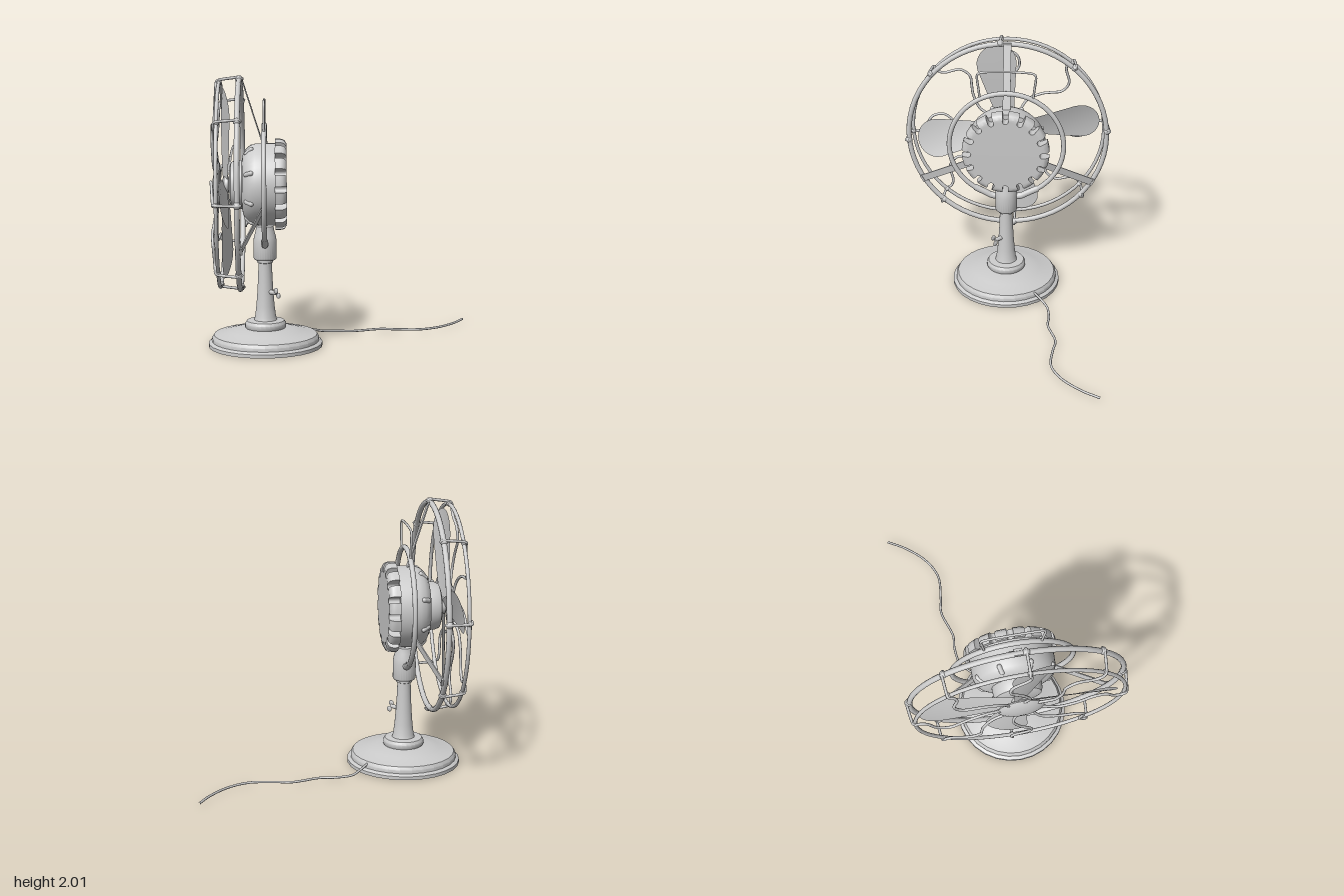
import * as THREE from 'three';
import { toCreasedNormals } from 'three/addons/utils/BufferGeometryUtils.js';

const grey = new THREE.MeshStandardMaterial({ color: 0xcccccc });
const greyThin = new THREE.MeshStandardMaterial({ color: 0xcccccc, side: THREE.DoubleSide });
const rad = THREE.MathUtils.degToRad;
const V = (x, y, z) => new THREE.Vector3(x, y, z);

// point around the fan axis: angle 0 is +z, 90 is up
const polar = (r, deg, x) => V(x, r * Math.sin(rad(deg)), r * Math.cos(rad(deg)));

function add(parent, name, geometry, material = grey) {
  const mesh = new THREE.Mesh(geometry, material);
  mesh.name = name;
  parent.add(mesh);
  return mesh;
}

function lathe(profile, segments = 40) {
  const points = profile.map(([r, y]) => new THREE.Vector2(r, y));
  return toCreasedNormals(new THREE.LatheGeometry(points, segments), 0.6);
}

// lathe whose axis runs along x; profile is [radius, x]
const latheX = (profile, segments) => lathe(profile, segments).rotateZ(-Math.PI / 2);

const tube = (points, r, segments = 40, tension = 0.5) => new THREE.TubeGeometry(
  new THREE.CatmullRomCurve3(points, false, 'catmullrom', tension), segments, r, 8);

const ring = (R, r, x) => new THREE.TorusGeometry(R, r, 10, 64).rotateY(Math.PI / 2).translate(x, 0, 0);

// slotted rear cover: disc with 16 round-ended notches and a rounded rim
function ventedCap() {
  const shape = new THREE.Shape();
  const R = 0.335, n = 16, half = 0.023, inner = 0.285;
  const put = (u, v, a) => {
    const x = u * Math.cos(a) - v * Math.sin(a), y = u * Math.sin(a) + v * Math.cos(a);
    if (shape.curves.length || shape.started) shape.lineTo(x, y);
    else { shape.moveTo(x, y); shape.started = true; }
  };
  for (let i = 0; i < n; i++) {
    const a = (i / n) * Math.PI * 2;
    put(R, -half, a);
    for (let k = 0; k <= 6; k++) {
      const t = (k / 6) * Math.PI;
      put(inner - half * Math.sin(t), -half * Math.cos(t), a);
    }
    put(R, half, a);
    for (let k = 1; k < 4; k++) put(R, 0, a + 0.07 + (k / 4) * (Math.PI * 2 / n - 0.14));
  }
  const depth = 0.085;
  const geo = new THREE.ExtrudeGeometry(shape, { depth, steps: 6, bevelEnabled: false });
  const p = geo.attributes.position;
  for (let i = 0; i < p.count; i++) {
    const r = Math.hypot(p.getX(i), p.getY(i));
    const f = Math.max(0, p.getZ(i) / depth - 0.4) / 0.6;
    const limit = 0.3 + 0.036 * Math.sqrt(Math.max(0, 1 - f * f));
    if (r > limit) p.setXY(i, p.getX(i) * limit / r, p.getY(i) * limit / r);
  }
  return toCreasedNormals(geo.rotateY(Math.PI / 2).translate(-0.497, 0, 0), 0.6);
}

// paddle blade: widens outward, round tip, pitched more at the root
function bladeGeometry() {
  const geo = new THREE.PlaneGeometry(1, 1, 8, 28);
  const p = geo.attributes.position;
  for (let i = 0; i < p.count; i++) {
    const t = p.getY(i) + 0.5;
    const r = 0.05 + 0.67 * Math.sin(t * Math.PI / 2);
    const tip = r > 0.58 ? Math.sqrt(Math.max(0, 1 - ((r - 0.58) / 0.14) ** 2)) : 1;
    const s = p.getX(i) * 2 * (0.05 + 0.1 * Math.min(1, (r - 0.05) / 0.5)) * tip;
    const pitch = 0.4 - 0.3 * r;
    p.setXYZ(i, -0.865 + s * pitch + s * s * 0.5, r, s);
  }
  geo.computeVertexNormals();
  return geo;
}

function createModel() {
  const model = new THREE.Group();
  model.name = 'deskFan';

  // stand
  const stand = new THREE.Group();
  stand.name = 'stand';
  stand.position.x = -0.575;
  model.add(stand);
  add(stand, 'base', lathe([[0, 0], [0.425, 0], [0.425, 0.026], [0.412, 0.036], [0.4, 0.04], [0.4, 0.065],
    [0.385, 0.088], [0.35, 0.094], [0.27, 0.115], [0.2, 0.135], [0, 0.136]], 28));
  add(stand, 'column', lathe([[0.145, 0.132], [0.153, 0.145], [0.153, 0.17], [0.14, 0.19], [0.085, 0.195],
    [0.078, 0.22], [0.068, 0.3], [0.06, 0.4], [0.053, 0.52], [0.05, 0.625], [0.06, 0.63], [0.06, 0.66]], 28));
  add(stand, 'socket', lathe([[0, 0.65], [0.078, 0.65], [0.086, 0.662], [0.086, 0.78], [0.082, 0.82],
    [0.07, 0.86], [0.064, 0.9], [0, 0.92]], 28));

  // wing screw on the column
  const screw = new THREE.Group();
  screw.name = 'wingScrew';
  screw.position.set(0.035, 0.41, 0.035);
  screw.rotation.y = -Math.PI / 4;
  stand.add(screw);
  add(screw, 'screwShaft', new THREE.CylinderGeometry(0.014, 0.018, 0.07, 12).rotateZ(-Math.PI / 2)).position.x = 0.035;
  for (const s of [-1, 1]) {
    const wing = add(screw, 'screwWing', new THREE.SphereGeometry(0.02, 12, 8));
    wing.scale.set(1.1, 1.1, 0.45);
    wing.position.set(0.075, s * 0.02, s * 0.012);
  }

  // power cord
  const cord = [[-0.3, -0.21, 0.075], [-0.265, -0.24, 0.07], [-0.2, -0.3, 0.045], [-0.13, -0.345, 0.025], [0, -0.36, 0.02],
    [0.11, -0.355, 0.02], [0.3, -0.415, 0.02], [0.43, -0.4, 0.02], [0.62, -0.39, 0.02], [0.78, -0.47, 0.02],
    [0.91, -0.61, 0.02], [0.995, -0.75, 0.02]];
  add(model, 'cord', tube(cord.map(([x, z, y]) => V(x, y, z)), 0.009, 80));

  // everything centred on the fan axis
  const head = new THREE.Group();
  head.name = 'fanHead';
  head.position.y = 1.21;
  model.add(head);

  // motor
  add(head, 'motorBody', latheX([[0, -0.83], [0.14, -0.83], [0.165, -0.82], [0.178, -0.79], [0.18, -0.74], [0.22, -0.733],
    [0.255, -0.715], [0.285, -0.685], [0.3, -0.645], [0.303, -0.6], [0.303, -0.495], [0, -0.495]], 48));
  add(head, 'motorRearCap', ventedCap());
  for (let i = 0; i < 8; i++) {
    const vent = add(head, 'motorFrontVent', new THREE.CapsuleGeometry(0.018, 0.05, 4, 10).rotateZ(Math.PI / 2 + 0.75));
    vent.geometry.translate(-0.687, 0.274, 0);
    vent.rotation.x = rad(22.5 + 45 * i);
  }

  // yoke ring, its arms to the socket, and the carrying handle
  const yx = -0.575;
  add(head, 'yokeRing', ring(0.441, 0.019, yx));
  for (const s of [-1, 1]) {
    add(head, 'yokeArm', tube([polar(0.441, -90 + s * 34, yx), V(yx, -0.405, s * 0.17),
      V(yx, -0.435, s * 0.11), V(yx, -0.44, s * 0.04)], 0.026, 16));
  }
  add(head, 'handle', tube([V(yx, 0.38, 0.2), V(yx, 0.47, 0.21), V(yx, 0.575, 0.222), V(yx, 0.605, 0.205),
    V(yx, 0.615, 0.15), V(yx, 0.62, 0), V(yx, 0.615, -0.15), V(yx, 0.605, -0.205), V(yx, 0.575, -0.222),
    V(yx, 0.47, -0.21), V(yx, 0.38, -0.2)], 0.009, 64));

  // cage rings
  add(head, 'cageRearRing', ring(0.77, 0.02, -0.755));
  add(head, 'cageFrontRing', ring(0.752, 0.014, -0.9));

  // curved guard wires: [radius, angle offset, x]
  const link = [[0.772, 0, -0.73], [0.795, 0, -0.745], [0.79, 0, -0.78], [0.772, 0, -0.9], [0.75, 0, -0.92], [0.72, -1, -0.922],
    [0.666, 1, -0.927], [0.605, 10, -0.935], [0.516, 13, -0.942], [0.44, 8, -0.942], [0.38, 2, -0.94],
    [0.285, -7, -0.935], [0.21, -9, -0.925], [0.12, 0, -0.915]];
  for (let i = 0; i < 8; i++) {
    const a = -4 + 45 * i;
    add(head, 'guardWire', tube(link.map(([r, d, x]) => polar(r, a + d, x)), 0.0105, 72));
    for (const [r, x, size] of [[0.775, -0.755, 0.027], [0.755, -0.9, 0.02]]) {
      const clamp = add(head, 'guardClamp', new THREE.SphereGeometry(size, 12, 8));
      clamp.position.copy(polar(r, a, x));
    }
  }

  // front medallion
  add(head, 'medallion', latheX([[0, -0.957], [0.05, -0.954], [0.1, -0.945], [0.145, -0.93], [0.167, -0.915],
    [0.165, -0.905], [0.12, -0.898], [0, -0.895]]));

  // flat struts from motor to rear ring
  for (let i = 0; i < 3; i++) {
    const length = Math.hypot(0.49, 0.155);
    const pivot = new THREE.Group();
    pivot.name = 'strut';
    pivot.rotation.x = rad(120 * i);
    head.add(pivot);
    const bar = add(pivot, 'strutBar', new THREE.BoxGeometry(0.008, length, 0.058));
    bar.position.set(-0.66, 0.535, 0);
    bar.rotation.z = Math.atan2(0.155, 0.49);
    add(pivot, 'strutClip', new THREE.BoxGeometry(0.05, 0.014, 0.058)).position.set(-0.748, 0.775, 0);
  }

  // blades and hub
  const propeller = new THREE.Group();
  propeller.name = 'propeller';
  head.add(propeller);
  const blade = bladeGeometry();
  for (let i = 0; i < 4; i++) {
    add(propeller, 'blade', blade, greyThin).rotation.x = rad(9 + 90 * i);
  }
  add(propeller, 'hub', latheX([[0, -0.89], [0.04, -0.885], [0.06, -0.87], [0.065, -0.84], [0.035, -0.835],
    [0.035, -0.82]], 24));

  return model;
}

export { createModel };
